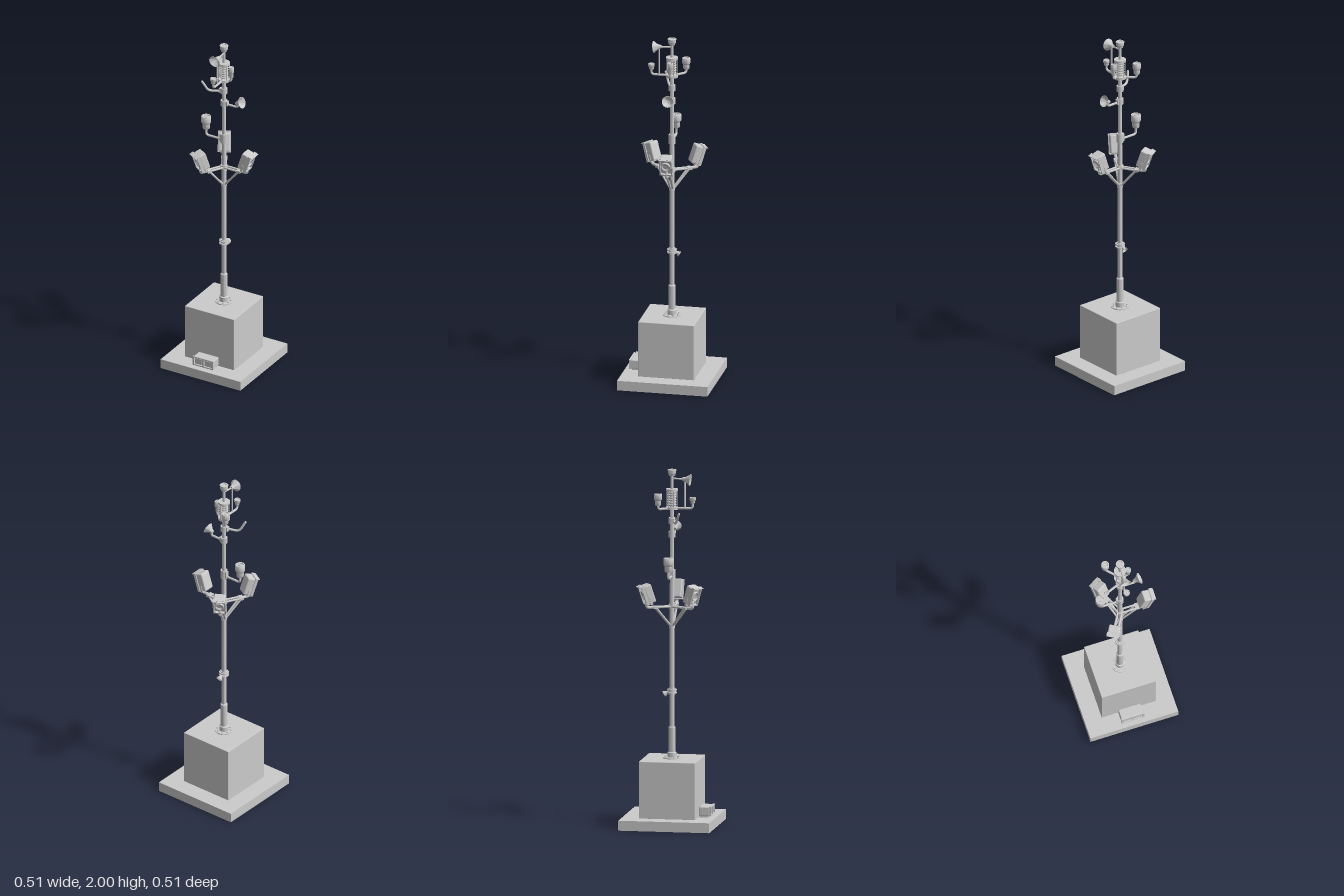
import * as THREE from 'three';
import { toCreasedNormals } from 'three/addons/utils/BufferGeometryUtils.js';
import { RoundedBoxGeometry } from 'three/addons/geometries/RoundedBoxGeometry.js';

const mat = new THREE.MeshStandardMaterial({ color: 0xcccccc });
const thin = new THREE.MeshStandardMaterial({ color: 0xcccccc, side: THREE.DoubleSide });
const V = (x, y, z) => new THREE.Vector3(x, y, z);

function add(parent, name, geo, x = 0, y = 0, z = 0, m = mat) {
  const mesh = new THREE.Mesh(geo, m);
  mesh.name = name;
  mesh.position.set(x, y, z);
  parent.add(mesh);
  return mesh;
}

function group(parent, name) {
  const g = new THREE.Group();
  g.name = name;
  parent.add(g);
  return g;
}

const lathe = (pts, seg = 28) =>
  toCreasedNormals(new THREE.LatheGeometry(pts.map(p => new THREE.Vector2(...p)), seg), 0.6);

// Upright cylinder between two heights
const post = (p, name, r, y0, y1, x = 0, z = 0) =>
  add(p, name, new THREE.CylinderGeometry(r, r, y1 - y0, 24), x, (y0 + y1) / 2, z);

// Straight rod between two points
function rod(p, name, a, b, r) {
  const d = b.clone().sub(a);
  const mesh = add(p, name, new THREE.CylinderGeometry(r, r, d.length(), 12));
  mesh.position.copy(a).addScaledVector(d, 0.5);
  mesh.quaternion.setFromUnitVectors(V(0, 1, 0), d.normalize());
  return mesh;
}

// Bent pipe with a rounded elbow at the middle point
function elbow(p, name, a, b, c, r, bend = 0.018) {
  const s = b.clone().add(a.clone().sub(b).setLength(bend));
  const e = b.clone().add(c.clone().sub(b).setLength(bend));
  const path = new THREE.CurvePath();
  path.add(new THREE.LineCurve3(a, s));
  path.add(new THREE.QuadraticBezierCurve3(s, b, e));
  path.add(new THREE.LineCurve3(e, c));
  add(p, name, new THREE.TubeGeometry(path, 30, r, 10), 0, 0, 0, thin);
  add(p, name + 'Tip', new THREE.SphereGeometry(r, 10, 8), c.x, c.y, c.z);
}

// Cup-shaped sensor on an elbow arm; y0..y1 is the cup
function sensor(parent, name, x, z, armY, y0, y1, r) {
  const g = group(parent, name), h = y1 - y0;
  elbow(g, 'arm', V(0, armY, 0), V(x, armY, z), V(x, y0 + 0.002, z), 0.007);
  add(g, 'cup', lathe([[0, 0], [r * 0.65, 0], [r * 0.75, h * 0.08], [r * 0.75, h * 0.42], [r * 0.95, h * 0.5],
    [r, h * 0.55], [r, h * 0.96], [r * 0.94, h], [r * 0.68, h], [r * 0.64, h * 0.93], [0, h * 0.93]]), x, y0, z);
  post(g, 'cupStud', r * 0.3, y1 - h * 0.1, y1 - h * 0.02, x, z);
  return g;
}

// Flared horn opening along its own +y
const horn = (r, h) => lathe([[0, 0], [r * 0.3, 0], [r * 0.36, h * 0.3], [r * 0.62, h * 0.62], [r, h * 0.96],
  [r, h], [r * 0.94, h], [r * 0.55, h * 0.62], [r * 0.2, h * 0.35], [0, h * 0.3]]);

function rect(s, x, y, w, h) {
  return s.moveTo(x - w / 2, y - h / 2).lineTo(x + w / 2, y - h / 2)
    .lineTo(x + w / 2, y + h / 2).lineTo(x - w / 2, y + h / 2).closePath();
}

// Panel with rectangular holes [x, y, w, h]
function frame(w, h, holes, depth) {
  const s = rect(new THREE.Shape(), 0, 0, w, h);
  holes.forEach(o => s.holes.push(rect(new THREE.Path(), ...o)));
  return new THREE.ExtrudeGeometry(s, { depth, bevelEnabled: false });
}

// Floodlight with its bracket, reaching out along +x
function floodlight(parent, angle) {
  const g = group(parent, 'floodlight');
  g.rotation.y = angle;
  for (const z of [-0.011, 0.011]) {
    rod(g, 'armRail', V(0.008, 1.23, z), V(0.105, 1.23, z), 0.006);
    rod(g, 'strut', V(0.008, 1.12, z * 0.6), V(0.098, 1.228, z), 0.006);
  }
  add(g, 'armPlate', new THREE.BoxGeometry(0.025, 0.014, 0.036), 0.1, 1.229, 0);
  elbow(g, 'neck', V(0.1, 1.23, 0), V(0.15, 1.23, 0), V(0.148, 1.268, 0), 0.009, 0.015);
  const head = group(g, 'lampHead');
  head.position.set(0.147, 1.307, 0);
  head.rotation.z = -0.32;
  add(head, 'housing', new RoundedBoxGeometry(0.046, 0.106, 0.066, 3, 0.008), -0.007, 0, 0);
  const rim = add(head, 'frontFrame', frame(0.072, 0.112, [[0, 0, 0.058, 0.096]], 0.016), 0.013, 0, 0);
  rim.rotation.y = Math.PI / 2;
  const lens = add(head, 'lens', lathe([[0, 0.002], [0.016, 0.005], [0.022, 0.012], [0.026, 0.012], [0.027, 0]]
    .reverse()), 0.015, 0, 0);
  lens.rotation.z = -Math.PI / 2;
  add(head, 'visor', new THREE.BoxGeometry(0.014, 0.004, 0.07), 0.032, 0.053, 0);
  for (const z of [-0.035, 0.035])
    add(head, 'yokeArm', new THREE.BoxGeometry(0.012, 0.04, 0.003), 0, -0.038, z);
  add(head, 'yokeBase', new THREE.BoxGeometry(0.016, 0.005, 0.073), 0, -0.057, 0);
}

// Clamp block on the pole
function clamp(p, y, h, x = 0, z = 0) {
  post(p, 'poleClamp', 0.019, y - h / 2, y + h / 2);
  add(p, 'clampBlock', new THREE.BoxGeometry(0.022, h * 0.8, 0.022), x, y, z);
}

export function createModel() {
  const model = new THREE.Group();
  model.name = 'sensorMast';

  // Foundation
  add(model, 'baseSlab', new THREE.BoxGeometry(0.514, 0.056, 0.514), 0, 0.028, 0);
  add(model, 'baseBlock', new RoundedBoxGeometry(0.318, 0.322, 0.318, 2, 0.003), 0, 0.215, 0);

  // Twin ground lamp in front of the block
  const ground = group(model, 'groundLamp');
  add(ground, 'lampBody', new RoundedBoxGeometry(0.128, 0.05, 0.058, 2, 0.004), 0, 0.09, 0.193);
  add(ground, 'lampFrame', frame(0.132, 0.054, [[-0.031, 0, 0.053, 0.04], [0.031, 0, 0.053, 0.04]], 0.011), 0, 0.09, 0.22);
  for (const s of [-1, 1]) {
    add(ground, 'lampGlass', new RoundedBoxGeometry(0.044, 0.032, 0.006, 2, 0.002), s * 0.031, 0.09, 0.223);
    add(ground, 'lampFoot', new THREE.BoxGeometry(0.012, 0.012, 0.05), s * 0.05, 0.061, 0.19);
  }

  // Pole with flange, sleeve and collars
  add(model, 'pole', lathe([[0, 0.37], [0.05, 0.37], [0.05, 0.381], [0.026, 0.382], [0.026, 0.408], [0.02, 0.413],
    [0.02, 0.55], [0.0135, 0.556], [0.012, 1.78], [0.011, 1.89], [0, 1.89]]));
  for (let i = 0; i < 8; i++) {
    const a = (i + 0.5) * Math.PI / 4;
    add(model, 'flangeBolt', new THREE.CylinderGeometry(0.004, 0.004, 0.008, 6), 0.039 * Math.cos(a), 0.384, 0.039 * Math.sin(a));
  }

  // Low ring clamp with a small spotlight at the back
  post(model, 'lowRing', 0.027, 0.742, 0.749);
  post(model, 'lowRing', 0.027, 0.757, 0.764);
  post(model, 'lowRingCore', 0.019, 0.735, 0.77);
  const spot = add(model, 'smallSpot', horn(0.018, 0.032), 0, 0.752, -0.016);
  spot.rotation.x = -2.1;

  // Three floodlights around the pole
  post(model, 'upperHub', 0.02, 1.218, 1.242);
  post(model, 'lowerHub', 0.018, 1.11, 1.135);
  for (const k of [-1, 0, 1]) floodlight(model, k * Math.PI * 2 / 3);

  // Large side sensor
  clamp(model, 1.41, 0.056, -0.012);
  sensor(model, 'largeSensor', -0.115, 0, 1.4, 1.44, 1.518, 0.028);

  // Side dish tilted upwards
  clamp(model, 1.635, 0.035, 0.014);
  elbow(model, 'dishArm', V(0, 1.63, 0), V(0.088, 1.63, 0), V(0.088, 1.655, 0), 0.007, 0.012);
  const dish = add(model, 'sideDish', horn(0.033, 0.04), 0.079, 1.652, 0);
  dish.rotation.z = -1.18;

  // Bent rod antenna
  clamp(model, 1.712, 0.034, -0.014, 0.006);
  elbow(model, 'bentAntenna', V(0, 1.71, 0.005), V(-0.08, 1.707, 0.036), V(-0.106, 1.765, 0.058), 0.007, 0.022);

  // Caged coil near the top
  const cage = group(model, 'coilCage');
  post(cage, 'lowerPlate', 0.034, 1.775, 1.79);
  post(cage, 'upperPlate', 0.034, 1.88, 1.891);
  for (let i = 0; i < 6; i++) {
    const ring = add(cage, 'coilRing', new THREE.TorusGeometry(0.02, 0.0045, 8, 24), 0, 1.802 + i * 0.014, 0);
    ring.rotation.x = Math.PI / 2;
  }
  for (let i = 0; i < 6; i++) {
    const a = i * Math.PI / 3 + Math.PI / 6;
    post(cage, 'cageRod', 0.003, 1.785, 1.885, 0.029 * Math.cos(a), 0.029 * Math.sin(a));
  }

  // Sensors around the cage
  sensor(model, 'rightSensor', 0.047, 0, 1.783, 1.807, 1.872, 0.016);
  sensor(model, 'rearSensor', -0.065, -0.067, 1.783, 1.805, 1.87, 0.023);
  sensor(model, 'frontSensor', 0, 0.117, 1.783, 1.812, 1.845, 0.018);

  // Forward horn on its vertical support
  rod(model, 'hornSupport', V(0, 1.783, 0.073), V(0, 1.94, 0.073), 0.005);
  rod(model, 'hornArm', V(0, 1.95, 0), V(0, 1.946, 0.066), 0.005);
  const front = add(model, 'frontHorn', horn(0.034, 0.045), 0, 1.948, 0.06);
  front.rotation.x = Math.PI / 2 + 0.12;

  // Top sensor
  post(model, 'topStem', 0.009, 1.885, 1.97);
  add(model, 'topCap', lathe([[0, 0], [0.017, 0], [0.019, 0.01], [0.023, 0.014], [0.024, 0.034],
    [0.022, 0.036], [0.015, 0.036], [0.014, 0.031], [0, 0.031]]), 0, 1.964, 0);
  return model;
}
